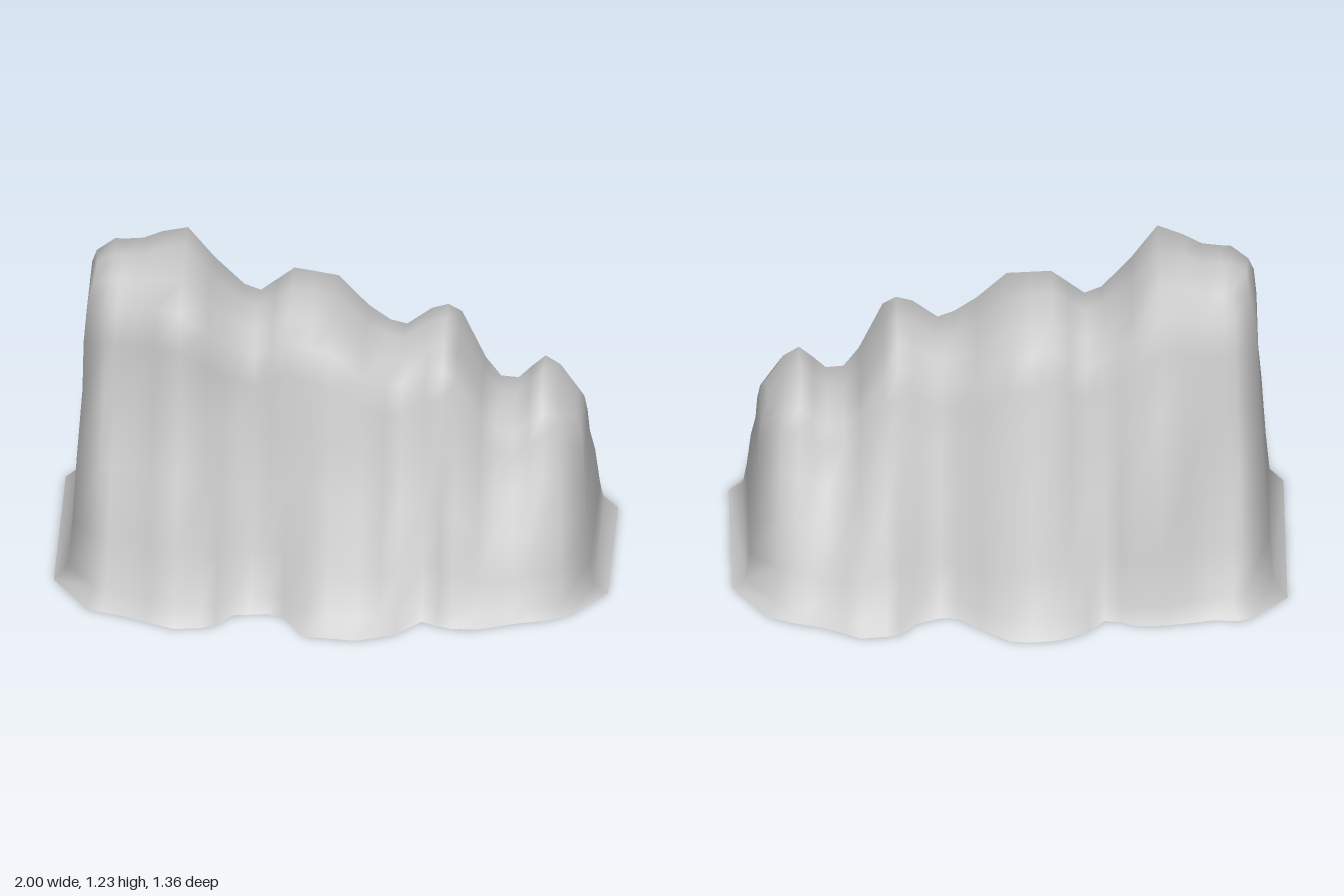
import * as THREE from 'three';

// piecewise-linear lookup in a list of [x, value]
function lookup(table, x) {
  if (x <= table[0][0]) return table[0][1];
  for (let i = 1; i < table.length; i++) {
    const [x0, v0] = table[i - 1], [x1, v1] = table[i];
    if (x <= x1) return v0 + (v1 - v0) * (x - x0) / (x1 - x0);
  }
  return table[table.length - 1][1];
}

// ridge line along x
const ridge = [[-0.88, 1.13], [-0.82, 1.19], [-0.72, 1.18], [-0.62, 1.22], [-0.54, 1.23], [-0.44, 1.1],
  [-0.32, 0.99], [-0.27, 0.98], [-0.17, 1.07], [0, 1.04], [0.13, 0.91], [0.24, 0.87], [0.35, 0.95],
  [0.43, 0.96], [0.56, 0.68], [0.64, 0.65], [0.75, 0.76], [0.84, 0.7], [0.88, 0.58]];

// half-depth of each wall along x, at the foot, the middle and the brow;
// waist is how far the wall has gone from middle to brow below the brow
const front = {
  foot: [[-1, 0.31], [-0.88, 0.51], [-0.72, 0.56], [-0.54, 0.64], [-0.41, 0.615], [-0.34, 0.525],
    [-0.22, 0.51], [-0.15, 0.53], [-0.08, 0.66], [0.11, 0.68], [0.25, 0.63], [0.34, 0.53], [0.43, 0.575],
    [0.55, 0.575], [0.66, 0.53], [0.85, 0.48], [1, 0.29]],
  middle: [[-1, 0.27], [-0.85, 0.32], [-0.7, 0.36], [-0.55, 0.45], [-0.42, 0.38], [-0.33, 0.31], [-0.2, 0.35],
    [0, 0.42], [0.12, 0.45], [0.25, 0.37], [0.33, 0.36], [0.47, 0.43], [0.6, 0.39], [0.75, 0.38],
    [0.88, 0.33], [1, 0.26]],
  brow: [[-1, 0.18], [-0.87, 0.23], [-0.7, 0.26], [-0.55, 0.35], [-0.42, 0.28], [-0.32, 0.22], [-0.2, 0.25],
    [0, 0.31], [0.12, 0.31], [0.25, 0.24], [0.35, 0.26], [0.47, 0.28], [0.6, 0.22], [0.75, 0.23],
    [0.88, 0.2], [1, 0.14]],
  waist: [[-0.45, 1.15], [-0.2, 0.65]],
};
const back = {
  foot: [[-1, 0.42], [-0.85, 0.565], [-0.73, 0.555], [-0.58, 0.585], [-0.45, 0.585], [-0.35, 0.54],
    [-0.26, 0.64], [-0.12, 0.685], [0.06, 0.67], [0.14, 0.55], [0.21, 0.52], [0.32, 0.53], [0.39, 0.625],
    [0.53, 0.65], [0.66, 0.58], [0.86, 0.52], [1, 0.32]],
  middle: [[-1, 0.31], [-0.85, 0.34], [-0.7, 0.37], [-0.55, 0.46], [-0.44, 0.45], [-0.35, 0.38], [-0.25, 0.4],
    [-0.15, 0.45], [0, 0.46], [0.1, 0.42], [0.22, 0.34], [0.33, 0.36], [0.45, 0.42], [0.55, 0.44],
    [0.65, 0.39], [0.8, 0.36], [0.9, 0.33], [1, 0.27]],
  brow: [[-1, 0.21], [-0.87, 0.25], [-0.7, 0.27], [-0.55, 0.29], [-0.42, 0.28], [-0.32, 0.25], [-0.15, 0.3],
    [0, 0.3], [0.1, 0.27], [0.22, 0.2], [0.35, 0.22], [0.47, 0.25], [0.6, 0.2], [0.75, 0.22],
    [0.88, 0.19], [1, 0.14]],
  waist: [[-0.45, 0.65], [-0.2, 0.6]],
};
const stations = [-1, -0.87, -0.82, -0.73, -0.65, -0.55, -0.45, -0.4, -0.34, -0.28, -0.22, -0.16, -0.08, 0,
  0.11, 0.19, 0.25, 0.34, 0.4, 0.45, 0.54, 0.6, 0.67, 0.73, 0.79, 0.87, 1];

// height fractions of the wall points, and how far the ends lean inward there
const levels = [0, 0.05, 0.2, 0.42, 0.62, 0.8, 0.91, 0.98, 1];
const endTaper = [1, 0.95, 0.935, 0.92, 0.905, 0.9, 0.89, 0.87, 0.86];
const lean = (x, k) => x * (1 - (1 - endTaper[k]) * x ** 4);

// half-depths of one wall at x, from the foot up to the rounded cap
function wall(side, x) {
  const [foot, middle, brow, waist] = [side.foot, side.middle, side.brow, side.waist].map(t => lookup(t, x));
  const { lerp } = THREE.MathUtils;
  return [foot, lerp(foot, middle, 0.27), lerp(foot, middle, 0.6), middle, lerp(middle, brow, waist),
    brow, brow * 0.85, brow * 0.6];
}

function rockGeometry() {
  const pos = [], index = [];
  const n = levels.length - 1, row = 2 * n + 1;

  // cross-sections from the front foot over the ridge to the back foot
  for (const x of stations) {
    const top = lookup(ridge, lean(x, n));
    const depths = [...wall(front, x), 0, ...wall(back, x).reverse().map(d => -d)];
    depths.forEach((z, j) => {
      const k = Math.min(j, row - 1 - j);
      pos.push(lean(x, k), levels[k] * top, z);
    });
  }
  for (let i = 0; i < stations.length - 1; i++) {
    for (let j = 0; j < row - 1; j++) {
      const a = i * row + j, b = a + row;
      index.push(a, b, b + 1, a, b + 1, a + 1);
    }
  }

  // close both end walls, level by level
  for (const [start, flip] of [[0, false], [(stations.length - 1) * row, true]]) {
    for (let k = 0; k < n; k++) {
      const f = start + k, g = start + row - 1 - k;
      const tris = k < n - 1 ? [[f, f + 1, g - 1], [f, g - 1, g]] : [[f, f + 1, g]];
      for (const t of tris) index.push(...(flip ? t.reverse() : t));
    }
  }

  const geo = new THREE.BufferGeometry();
  geo.setAttribute('position', new THREE.Float32BufferAttribute(pos, 3));
  geo.setIndex(index);
  geo.computeVertexNormals();
  return geo;
}

export function createModel() {
  const group = new THREE.Group();
  group.name = 'rock';
  // open underneath, so both sides show
  const material = new THREE.MeshStandardMaterial({ color: 0xcccccc, side: THREE.DoubleSide });
  const rock = new THREE.Mesh(rockGeometry(), material);
  rock.name = 'rockShell';
  group.add(rock);
  return group;
}
